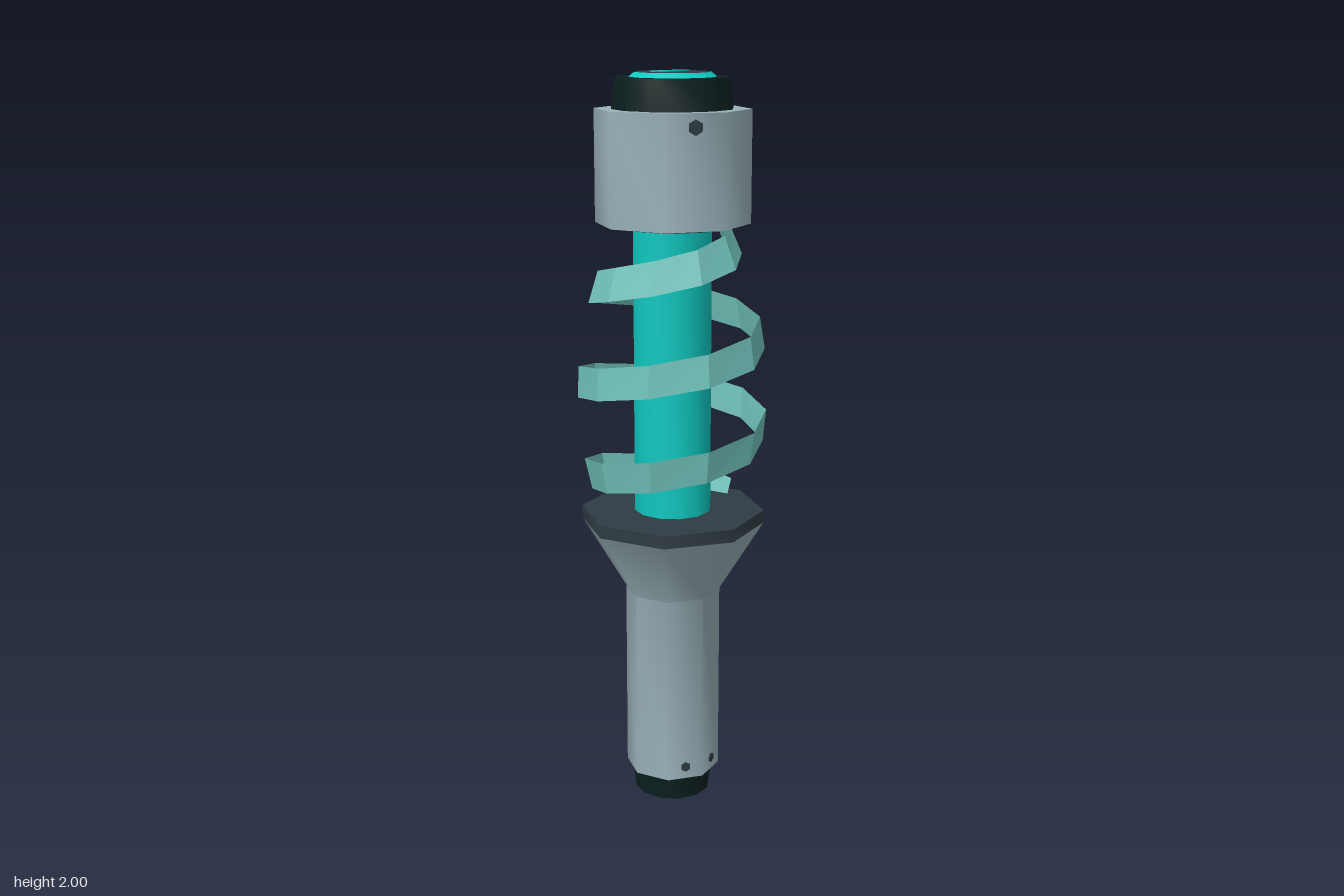
import * as THREE from 'three';
import { toCreasedNormals } from 'three/addons/utils/BufferGeometryUtils.js';

const mat = (name, color) => Object.assign(new THREE.MeshStandardMaterial({ color }), { name });

export function createModel() {
  const group = new THREE.Group();
  const metal = mat('pale steel', 0x9ab2ba);
  const slate = mat('dark slate', 0x2f3c43);
  const black = mat('green black', 0x0c1f1f);
  const cyan = mat('bright cyan', 0x10c8c0);
  const teal = mat('soft teal', 0x72c4bc);
  teal.side = THREE.DoubleSide;

  const add = (name, geometry, material) => {
    const mesh = new THREE.Mesh(geometry, material);
    mesh.name = name;
    group.add(mesh);
    return mesh;
  };
  // Turned part from [radius, height] pairs listed bottom to top
  const turned = (name, profile, sides, material) => {
    const points = profile.map(([r, y]) => new THREE.Vector2(r, y));
    return add(name, toCreasedNormals(new THREE.LatheGeometry(points, sides), 0.85), material);
  };

  // Handle, flange and end cap
  turned('endCap', [[0, 0], [0.105, 0], [0.113, 0.07], [0, 0.07]], 12, black);
  turned('handle', [[0, 0.07], [0.13, 0.07], [0.13, 0.6], [0.25, 0.795]], 8, metal);
  turned('flange', [[0, 0.795], [0.25, 0.795], [0.25, 0.83], [0, 0.83]], 8, slate);

  // Glowing core and the head above it
  turned('core', [[0.105, 0.83], [0.105, 1.61]], 12, cyan);
  turned('headCollar', [[0, 1.6], [0.13, 1.6], [0.13, 1.63]], 8, slate);
  turned('head', [[0.12, 1.605], [0.205, 1.612], [0.205, 1.905], [0, 1.905]], 8, metal);

  // Top button, stacked from tapered rings
  turned('topCap', [[0.16, 1.905], [0.15, 1.985], [0, 1.985]], 12, black);
  turned('buttonRing', [[0.115, 1.985], [0.1, 1.997]], 12, cyan);
  turned('buttonFace', [[0.1, 1.997], [0, 1.997]], 12, slate);
  const bar = add('buttonMark', new THREE.CylinderGeometry(1, 1, 0.003, 8), cyan);
  bar.scale.set(0.066, 1, 0.017);
  bar.position.set(0, 1.9985, -0.01);

  // Flat bolts seated on the facets
  const bolt = (name, degrees, apothem, y, radius) => {
    const a = THREE.MathUtils.degToRad(degrees);
    const geometry = new THREE.CylinderGeometry(radius, radius, 0.006, 6).rotateX(Math.PI / 2);
    const mesh = add(name, geometry, slate);
    mesh.position.set(Math.sin(a) * apothem, y, Math.cos(a) * apothem);
    mesh.rotation.y = a;
  };
  for (const a of [-22.5, 157.5, 202.5]) bolt('headBolt', a, 0.19, 1.87, 0.02);
  for (const a of [-22.5, 22.5, 67.5, 112.5]) bolt('handleBolt', a, 0.121, 0.105, 0.014);

  // Faceted ribbon, three turns around a bulging barrel
  const turns = 3, perTurn = 10, start = 0.83, rise = 0.768, half = 0.043;
  const ribbonPoint = (i, offset) => {
    const a = Math.PI / 2 + (i / perTurn) * Math.PI * 2;
    const y = start + (rise * i) / (turns * perTurn) + offset;
    const t = (y - start) / rise;
    const r = 0.255 - 0.3 * (t - 0.42) ** 2;
    return [Math.sin(a) * r, y, Math.cos(a) * r];
  };
  const vertices = [];
  for (let i = 0; i < turns * perTurn; i++) {
    const a = ribbonPoint(i, -half), b = ribbonPoint(i + 1, -half);
    const c = ribbonPoint(i + 1, half), d = ribbonPoint(i, half);
    vertices.push(...a, ...b, ...c, ...a, ...c, ...d);
  }
  const ribbon = new THREE.BufferGeometry();
  ribbon.setAttribute('position', new THREE.Float32BufferAttribute(vertices, 3));
  ribbon.computeVertexNormals();
  add('spiralRibbon', ribbon, teal);

  return group;
}
